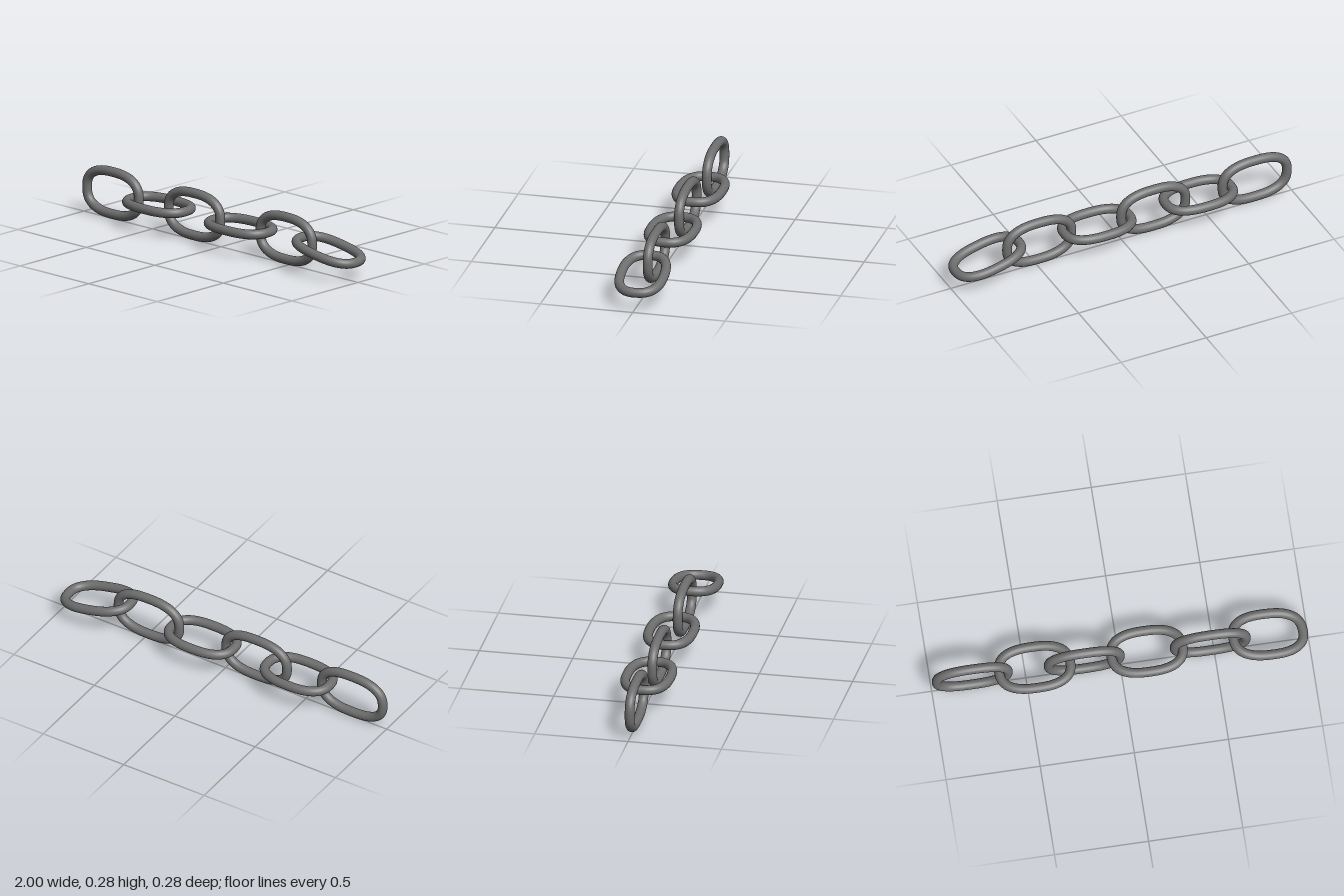
import * as THREE from 'three';

const TUBE = 0.0255, HALF_LENGTH = 0.189, HALF_WIDTH = 0.115;

// Closed centreline of one link: a rounded oval with gently bowed sides
function linkCurve() {
  const points = [], n = 2.55, count = 48;
  for (let i = 0; i < count; i++) {
    const a = (i / count) * Math.PI * 2;
    const c = Math.cos(a), s = Math.sin(a);
    points.push(new THREE.Vector3(
      HALF_LENGTH * Math.sign(c) * Math.abs(c) ** (2 / n),
      HALF_WIDTH * Math.sign(s) * Math.abs(s) ** (2 / n),
      0
    ));
  }
  return new THREE.CatmullRomCurve3(points, true);
}

export function createModel() {
  const group = new THREE.Group();
  group.name = 'chain';
  const material = new THREE.MeshStandardMaterial({ color: 0x6e6e6e });
  const geometry = new THREE.TubeGeometry(linkCurve(), 96, TUBE, 20, true);

  // Links alternate between upright and flat
  const centres = [-0.785, -0.453, -0.19, 0.143, 0.479, 0.786];
  centres.forEach((x, i) => {
    const flat = i % 2 === 1;
    const link = new THREE.Mesh(geometry, material);
    link.name = (flat ? 'flatLink' : 'uprightLink') + (i + 1);
    link.position.set(x, 0.1405, flat ? 0 : 0.003);
    link.rotation.x = flat ? Math.PI / 2 : 0;
    group.add(link);
  });

  // The last link droops and turns slightly
  const last = group.children[5];
  last.position.y = 0.136;
  last.rotation.set(Math.PI / 2, 0.05, -0.185, 'ZYX');

  return group;
}
